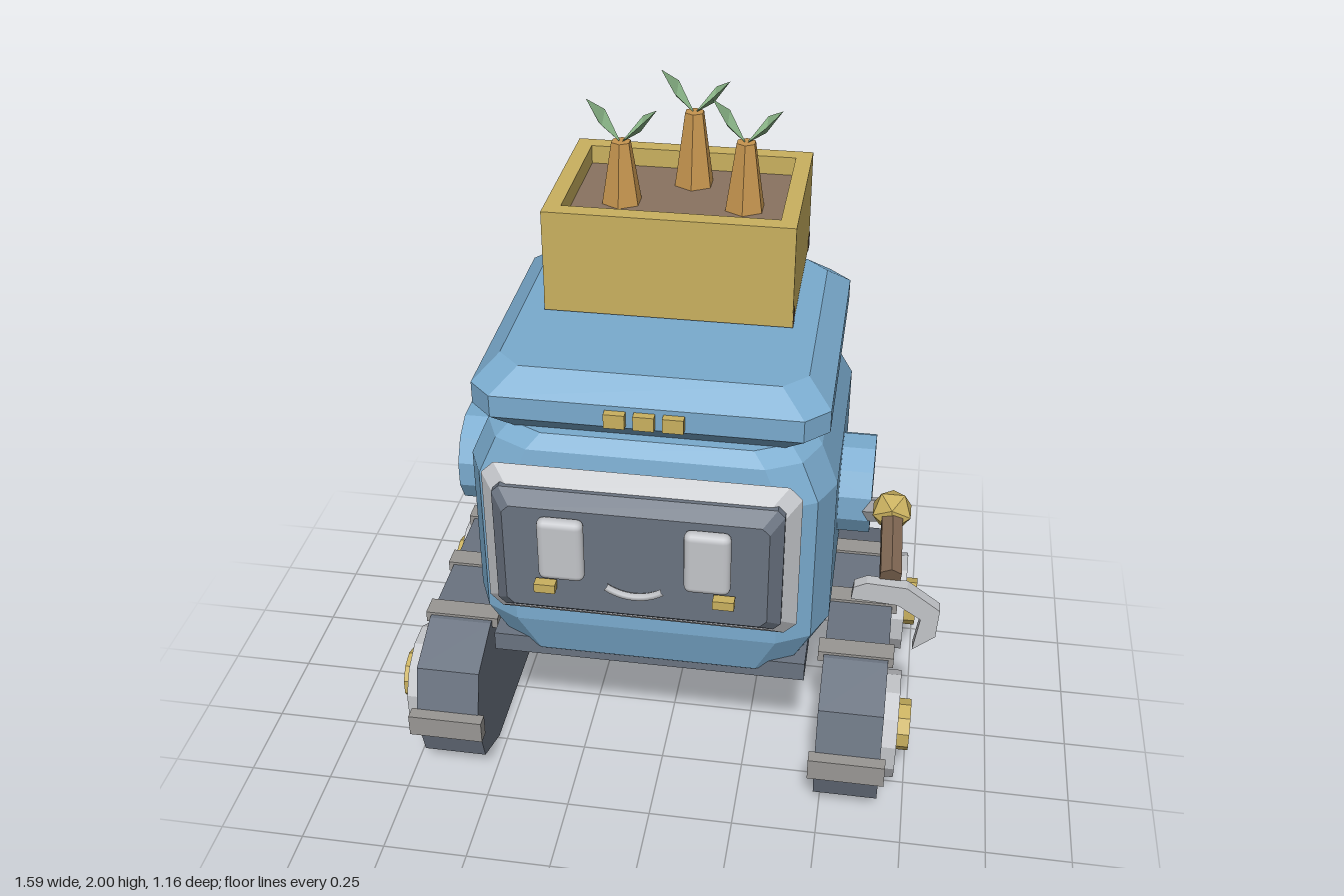
import * as THREE from 'three';
import { RoundedBoxGeometry } from 'three/addons/geometries/RoundedBoxGeometry.js';

const paint = (name, color, extra = {}) => {
  const m = new THREE.MeshStandardMaterial({ color, ...extra });
  m.name = name;
  return m;
};

// Faceted normals for the low-poly style
function facet(geo) {
  const g = geo.index ? geo.toNonIndexed() : geo;
  g.computeVertexNormals();
  return g;
}

// Loft along z. Sections: [z, halfWidth, yMin, yMax]; corner: points measured inward from each corner
function loft(sections, corner) {
  const pos = [], idx = [], n = corner.length * 4;
  for (const [t, h, lo, hi] of sections) {
    const fwd = corner, back = [...corner].reverse();
    const ring = [
      ...back.map(([a, b]) => [h - a, lo + b]),
      ...fwd.map(([a, b]) => [h - a, hi - b]),
      ...back.map(([a, b]) => [-h + a, hi - b]),
      ...fwd.map(([a, b]) => [-h + a, lo + b]),
    ];
    ring.forEach(([u, v]) => pos.push(u, v, t));
  }
  for (let s = 0; s < sections.length - 1; s++) {
    for (let i = 0; i < n; i++) {
      const a = s * n + i, b = s * n + (i + 1) % n;
      idx.push(a, b, b + n, a, b + n, a + n);
    }
  }
  const top = (sections.length - 1) * n;
  for (let i = 1; i < n - 1; i++) idx.push(0, i + 1, i, top, top + i, top + i + 1);
  const g = new THREE.BufferGeometry();
  g.setAttribute('position', new THREE.Float32BufferAttribute(pos, 3));
  g.setIndex(idx);
  return facet(g);
}

// Same loft standing upright. Sections: [y, halfWidth, zBack, zFront]
const loftUp = (sections, corner) =>
  loft(sections.map(([y, h, back, front]) => [y, h, -front, -back]), corner).rotateX(-Math.PI / 2);

export function createModel() {
  const root = new THREE.Group();
  const bot = new THREE.Group();
  bot.name = 'gardenRobot';
  bot.position.x = -0.023;
  root.add(bot);

  const blue = paint('body blue', 0x7aabce);
  const slate = paint('slate', 0x6a7380);
  const silver = paint('light metal', 0xc3c5c9);
  const grey = paint('warm grey', 0x999794);
  const yellow = paint('mustard', 0xcab15f);
  const soil = paint('soil brown', 0x8a7360);
  const brown = paint('dark wood', 0x7d6551);
  const orange = paint('carrot orange', 0xc6954f);
  const green = paint('leaf green', 0x86b083, { side: THREE.DoubleSide });

  const add = (name, geo, mat, x = 0, y = 0, z = 0, parent = bot) => {
    const m = new THREE.Mesh(geo, mat);
    m.name = name;
    m.position.set(x, y, z);
    parent.add(m);
    return m;
  };
  const box = (w, h, d) => new THREE.BoxGeometry(w, h, d);
  const disc = (r, len, sides) =>
    facet(new THREE.CylinderGeometry(r, r, len, sides)).rotateY(Math.PI / sides).rotateZ(Math.PI / 2);
  // Straight limb between two points
  const limb = (name, a, b, r, sides, mat) => {
    const d = b.clone().sub(a);
    const m = add(name, facet(new THREE.CylinderGeometry(r, r, d.length(), sides)), mat);
    m.position.copy(a).addScaledVector(d, 0.5);
    m.quaternion.setFromUnitVectors(new THREE.Vector3(0, 1, 0), d.normalize());
  };

  // Body shell, base plate and lid
  add('body', loftUp([
    [0.44, 0.385, -0.42, 0.31], [0.5, 0.455, -0.465, 0.37], [0.63, 0.513, -0.51, 0.405],
    [1.09, 0.513, -0.51, 0.405], [1.2, 0.465, -0.46, 0.385], [1.235, 0.43, -0.43, 0.35],
  ], [[0, 0.15], [0.045, 0.05], [0.14, 0]]), blue);
  add('basePlate', box(0.914, 0.06, 0.85), slate, 0, 0.5, -0.06);
  add('lid', loftUp([
    [1.22, 0.425, -0.455, 0.305], [1.285, 0.487, -0.52, 0.37],
    [1.35, 0.487, -0.52, 0.37], [1.41, 0.42, -0.455, 0.3],
  ], [[0, 0.065], [0.065, 0]]), blue);
  for (const i of [-1, 0, 1]) add('lidButton', box(0.057, 0.042, 0.05), yellow, i * 0.079, 1.315, 0.368);

  // Face: bevelled frame, screen, eyes, cheeks and smile
  const cut = [[0, 0.035], [0.035, 0]];
  add('faceFrame', loft([
    [0.38, 0.38, 0.76, 1.145], [0.45, 0.433, 0.71, 1.195], [0.5, 0.385, 0.755, 1.15],
  ], cut), silver);
  add('screen', loft([
    [0.47, 0.393, 0.763, 1.157], [0.505, 0.393, 0.763, 1.157], [0.543, 0.358, 0.797, 1.122],
  ], [[0, 0.02], [0.02, 0]]), slate);
  for (const s of [-1, 1]) {
    add('eye', new RoundedBoxGeometry(0.126, 0.192, 0.042, 2, 0.02), silver, s * 0.197, 1.008, 0.558);
    add('cheek', box(0.058, 0.027, 0.03), yellow, s * 0.243, 0.883, 0.563);
  }
  add('smile', new THREE.TorusGeometry(0.134, 0.011, 6, 12, 1.24).rotateZ(-Math.PI / 2 - 0.62),
    silver, 0, 1.005, 0.558);

  // Shoulders and caterpillar tracks, one pair per side
  const track = new THREE.Shape([
    [0.24, 0], [0.4, 0.068], [0.45, 0.23], [0.4, 0.392], [0.24, 0.458],
    [-0.36, 0.458], [-0.53, 0.392], [-0.58, 0.23], [-0.53, 0.068], [-0.36, 0],
  ].map(([z, y]) => new THREE.Vector2(-z, y)));
  const trackGeo = new THREE.ExtrudeGeometry(track, { depth: 0.19, bevelEnabled: false })
    .rotateY(Math.PI / 2).translate(-0.095, 0, 0);
  for (const s of [-1, 1]) {
    const side = new THREE.Group();
    side.name = s > 0 ? 'leftSide' : 'rightSide';
    bot.add(side);
    add('shoulder', disc(0.147, 0.16, 12), blue, s * 0.527, 0.905, -0.037, side);
    add('track', trackGeo, slate, s * 0.6, 0, 0, side);
    for (const z of [0.24, -0.36]) {
      add('wheel', disc(0.16, 0.06, 12), silver, s * 0.708, 0.23, z, side);
      add('hub', disc(0.077, 0.06, 10), yellow, s * 0.745, 0.23, z, side);
    }
    for (const z of [0.193, -0.063, -0.318]) add('cleat', box(0.223, 0.035, 0.066), grey, s * 0.599, 0.449, z, side);
    add('frontCleat', box(0.223, 0.07, 0.04), grey, s * 0.599, 0.23, 0.457, side);
  }

  // Single arm with a hooked claw
  const start = new THREE.Vector3(0.575, 0.855, 0.03);
  const elbow = new THREE.Vector3(0.667, 0.955, 0.165);
  const wrist = new THREE.Vector3(0.677, 0.888, 0.385);
  limb('upperArm', start, elbow, 0.036, 6, silver);
  limb('forearm', elbow, wrist, 0.033, 6, brown);
  add('elbow', new THREE.IcosahedronGeometry(0.062, 0), yellow, elbow.x, elbow.y, elbow.z);
  const claw = new THREE.Shape([
    [0.575, 0.82], [0.58, 0.86], [0.615, 0.878], [0.725, 0.872], [0.818, 0.805], [0.813, 0.715],
    [0.753, 0.663], [0.768, 0.77], [0.703, 0.812], [0.62, 0.818],
  ].map(([x, y]) => new THREE.Vector2(x, y)));
  add('claw', new THREE.ExtrudeGeometry(claw, { depth: 0.036, bevelEnabled: false }), silver, 0, 0, 0.375);

  // Planter box with soil and foot slats
  const rect = (P, w, d) => new P([[-w, -d], [w, -d], [w, d], [-w, d]].map(([x, y]) => new THREE.Vector2(x, y)));
  const rim = rect(THREE.Shape, 0.351, 0.265);
  rim.holes.push(rect(THREE.Path, 0.304, 0.215));
  add('planterWalls', new THREE.ExtrudeGeometry(rim, { depth: 0.3, bevelEnabled: false }).rotateX(-Math.PI / 2),
    yellow, 0, 1.415, -0.278);
  add('soil', box(0.61, 0.245, 0.432), soil, 0, 1.5375, -0.278);
  add('frontSlat', box(0.705, 0.045, 0.045), brown, 0, 1.436, -0.037);
  add('backSlat', box(0.705, 0.045, 0.045), brown, 0, 1.436, -0.522);

  // Carrots, each with two folded leaves
  const leaf = (dx, dy, dz) => {
    const g = new THREE.BufferGeometry();
    const mx = dx * 0.55, my = dy * 0.5, mz = dz * 0.5;
    g.setAttribute('position', new THREE.Float32BufferAttribute([
      0, 0, 0, mx, my + 0.015, mz - 0.048, mx, my - 0.015, mz,
      0, 0, 0, mx, my - 0.015, mz, mx, my + 0.015, mz + 0.048,
      dx, dy, dz, mx, my - 0.015, mz, mx, my + 0.015, mz - 0.048,
      dx, dy, dz, mx, my + 0.015, mz + 0.048, mx, my - 0.015, mz,
    ].map((v) => v * 1), 3));
    // Keep the upper face in front on both lean directions
    if (dx < 0) {
      const a = g.attributes.position.array;
      for (let t = 0; t < 36; t += 9) for (let k = 3; k < 6; k++) [a[t + k], a[t + k + 3]] = [a[t + k + 3], a[t + k]];
    }
    g.computeVertexNormals();
    return g;
  };
  for (const [x, z, top] of [[-0.167, -0.24, 1.84], [0.018, -0.395, 1.878], [0.184, -0.245, 1.857]]) {
    const h = top - 1.64;
    add('carrot', facet(new THREE.CylinderGeometry(0.029, 0.063, h, 6)), orange, x, 1.64 + h / 2, z);
    add('leafRight', leaf(-0.095, 0.125, 0.005), green, x, top - 0.005, z);
    add('leafLeft', leaf(0.097, 0.088, -0.03), green, x, top - 0.005, z);
  }
  return root;
}
